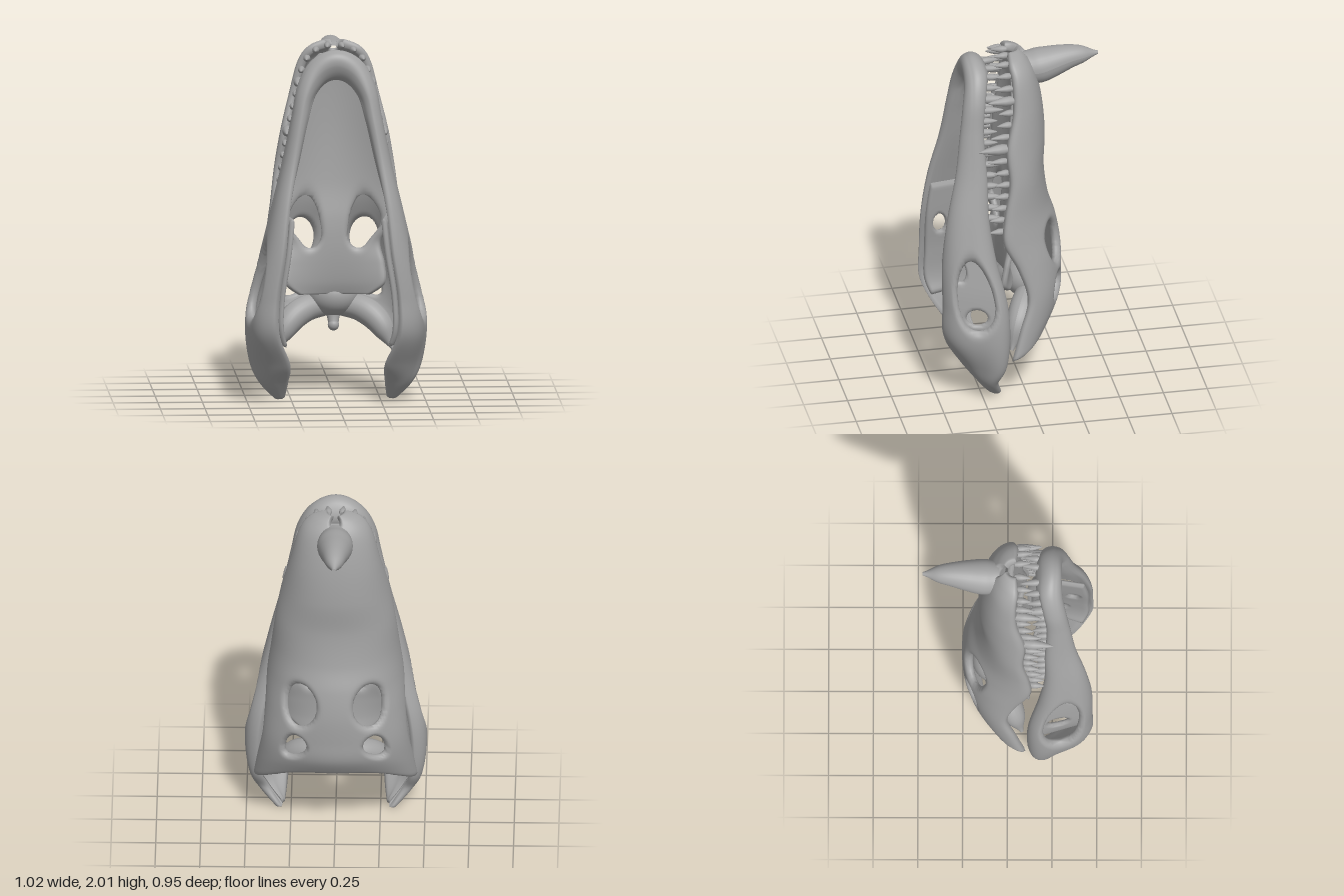
import * as THREE from 'three';
import { mergeVertices } from 'three/addons/utils/BufferGeometryUtils.js';

const bone = new THREE.MeshStandardMaterial({ color: 0xa2a2a2 });
bone.name = 'bone grey';

// Smooth interpolation through a table of rows, t in 0..1
function rowAt(rows, t) {
  const f = Math.min(Math.max(t, 0), 1) * (rows.length - 1);
  const i = Math.min(Math.floor(f), rows.length - 2), k = f - i;
  const a = rows[Math.max(i - 1, 0)], b = rows[i], c = rows[i + 1], d = rows[Math.min(i + 2, rows.length - 1)];
  return b.map((q, n) => {
    const m0 = (c[n] - a[n]) / 2, m1 = (d[n] - q) / 2;
    return q + m0 * k + (3 * (c[n] - q) - 2 * m0 - m1) * k * k + (2 * (q - c[n]) + m0 + m1) * k ** 3;
  });
}

function addMesh(parent, name, geometry) {
  const mesh = new THREE.Mesh(geometry, bone);
  mesh.name = name;
  parent.add(mesh);
  return mesh;
}

// Curved plate with rounded rims; holes are ellipses [s, v, rs, rv] in its own coordinates
function shell(N, M, mid, half, ks, kv, holes) {
  const pos = [], inside = [], idx = [], W = M + 1, count = (N + 1) * W;
  const e = 0.002, back = [];
  for (let i = 0; i <= N; i++) for (let j = 0; j <= M; j++) {
    let s = i / N, v = j / M, r = Math.min(1, Math.min(s, 1 - s) / ks, Math.min(v, 1 - v) / kv), cut = false;
    for (const [hs, hv, rs, rv] of holes) {
      const q = Math.hypot((s - hs) / rs, (v - hv) / rv);
      if (q <= 1) {
        const g = 1 / Math.max(q, 1e-3);
        s = hs + (s - hs) * g; v = hv + (v - hv) * g;
        cut = true; r = 0;
      } else r = Math.min(r, (q - 1) / 0.35);
    }
    inside.push(cut);
    const s0 = Math.max(s - e, 0), s1 = Math.min(s + e, 1), v0 = Math.max(v - e, 0), v1 = Math.min(v + e, 1);
    const n = mid(s1, v).sub(mid(s0, v)).cross(mid(s, v1).sub(mid(s, v0))).normalize();
    const t = half(s, v) * Math.sqrt(Math.max(0, 1 - (1 - r) ** 2)), p = mid(s, v);
    pos.push(...p.clone().addScaledVector(n, t).toArray());
    back.push(...p.addScaledVector(n, -t).toArray());
  }
  const tri = (a, b, c) => {
    if (inside[a] && inside[b] && inside[c]) return;
    idx.push(a, b, c, a + count, c + count, b + count);
  };
  for (let i = 0; i < N; i++) for (let j = 0; j < M; j++) {
    const a = i * W + j, b = a + W;
    tri(a, b, a + 1);
    tri(b, b + 1, a + 1);
  }
  let g = new THREE.BufferGeometry();
  g.setAttribute('position', new THREE.Float32BufferAttribute(pos.concat(back), 3));
  g.setIndex(idx);
  g = mergeVertices(g, 1e-5);
  g.computeVertexNormals();
  return g;
}

// Round bar along a curve with changing radius
function bar(points, radii, steps = 32, sides = 24) {
  const curve = new THREE.CatmullRomCurve3(points.map(p => new THREE.Vector3(...p)));
  const g = new THREE.TubeGeometry(curve, steps, 1, sides, false), P = g.attributes.position;
  const rows = radii.map(r => [r]), v = new THREE.Vector3();
  for (let k = 0; k < P.count; k++) {
    const t = Math.floor(k / (sides + 1)) / steps, c = curve.getPointAt(t);
    v.fromBufferAttribute(P, k).sub(c).multiplyScalar(rowAt(rows, t)[0]).add(c);
    P.setXYZ(k, v.x, v.y, v.z);
  }
  g.computeVertexNormals();
  return g;
}

// Lower jaw, tip to rear: tooth edge xyz, bottom edge xyz, outward bulge, half thickness
const jawHalf = [
  [0, 1.92, 0.17, 0, 1.86, 0.29, 0, 0.088],
  [0.1, 1.885, 0.17, 0.085, 1.82, 0.295, 0.005, 0.076],
  [0.165, 1.78, 0.2, 0.15, 1.72, 0.32, 0.01, 0.056],
  [0.21, 1.6, 0.22, 0.185, 1.58, 0.345, 0.01, 0.046],
  [0.26, 1.35, 0.21, 0.23, 1.35, 0.38, 0.015, 0.043],
  [0.305, 1.1, 0.21, 0.27, 1.1, 0.435, 0.035, 0.04],
  [0.345, 0.85, 0.175, 0.295, 0.85, 0.47, 0.065, 0.035],
  [0.4, 0.6, 0.12, 0.33, 0.6, 0.475, 0.085, 0.032],
  [0.42, 0.4, 0.11, 0.33, 0.4, 0.47, 0.088, 0.032],
  [0.41, 0.22, 0.13, 0.265, 0.22, 0.37, 0.085, 0.035],
  [0.37, 0.11, 0.18, 0.27, 0.11, 0.27, 0.06, 0.035],
  [0.3, 0, 0.145, 0.285, 0.01, 0.185, 0.01, 0.03],
];
// Skull roof, tip to rear: middle y, edge y, half width, crest z, edge z
const roofRows = [
  [1.985, 1.985, 0.04, 0, 0.05], [1.95, 1.95, 0.13, -0.04, 0.06], [1.87, 1.87, 0.185, -0.085, 0.05],
  [1.7, 1.7, 0.23, -0.122, 0.055], [1.5, 1.5, 0.28, -0.138, 0.1], [1.3, 1.3, 0.315, -0.13, 0.09],
  [1.1, 1.1, 0.34, -0.155, 0.125], [0.95, 0.95, 0.36, -0.2, 0.13], [0.8, 0.78, 0.37, -0.225, 0.05],
  [0.65, 0.6, 0.385, -0.228, 0], [0.53, 0.42, 0.415, -0.22, 0.05], [0.42, 0.25, 0.44, -0.16, 0.1],
];
// Palate: y, half width, middle z, edge z
const palateRows = [
  [1.93, 0.08, 0.02, 0.03], [1.8, 0.17, 0, 0.04], [1.5, 0.25, 0, 0.07], [1.2, 0.3, 0.02, 0.08],
  [1.0, 0.33, 0.05, 0.1], [0.87, 0.26, 0.06, 0.07], [0.75, 0.28, 0.06, 0.1], [0.64, 0.28, 0.05, 0.12],
  [0.57, 0.2, 0.03, 0.08],
];

export function createModel() {
  const model = new THREE.Group();
  model.name = 'hornedReptileSkull';

  // Lower jaw: one U-shaped plate with a window on each side
  const mirrored = jawHalf.slice(1).reverse().map(([a, b, c, d, e, f, g, h]) => [-a, b, c, -d, e, f, -g, h]);
  const jawRows = mirrored.concat(jawHalf);
  const jawMid = (s, v) => {
    const [a, b, c, d, e, f, g] = rowAt(jawRows, s);
    return new THREE.Vector3(a + (d - a) * v + g * (1 - (2 * v - 1) ** 4), b + (e - b) * v, c + (f - c) * v);
  };
  addMesh(model, 'lowerJaw', shell(240, 40, jawMid, s => rowAt(jawRows, s)[7], 0.02, 0.45,
    [-1, 1].map(k => [0.5 + k * 6.75 / 22, 0.5, 0.85 / 22, 0.29])));

  // Inner jaw walls behind the windows, each with two small openings
  for (const k of [-1, 1]) {
    const wallMid = (s, v) => {
      const [a, b, c, d, e, f] = rowAt(jawHalf, (5.2 + 3.2 * s) / 11), q = 0.06 + 0.88 * v;
      return new THREE.Vector3(k * (a + (d - a) * q - 0.025), b + (e - b) * q, c + (f - c) * q);
    };
    addMesh(model, 'innerJawWall', shell(48, 36, wallMid, () => 0.016, 0.05, 0.1,
      [[0.34, 0.7, 0.07, 0.13], [0.71, 0.46, 0.07, 0.18]]));
  }

  // Skull roof with eye sockets, rear windows and the cleft at the nose
  const roofMid = (s, v) => {
    const [ym, ye, w, zd, ze] = rowAt(roofRows, s), a = (2 * v - 1) * Math.PI / 2;
    const sn = Math.sin(a), cs = Math.max(0, Math.cos(a));
    return new THREE.Vector3(w * Math.sign(sn) * Math.abs(sn) ** (0.9 + 0.1 * s),
      ym + (ye - ym) * Math.abs(sn) ** 3, ze + (zd - ze) * cs ** (0.8 + 0.35 * s));
  };
  const roofHoles = [[0, 0.5, 0.11, 0.08]];
  for (const k of [-1, 1]) roofHoles.push(
    [7.6 / 11, 0.5 + k * 0.17, 0.8 / 11, 0.085], [9.3 / 11, 0.5 + k * 0.19, 0.5 / 11, 0.06]);
  addMesh(model, 'skullRoof', shell(130, 84, roofMid, () => 0.026, 0.03, 0.06, roofHoles));

  // Palate with two long openings and flared rear wings
  const palateMid = (s, v) => {
    const [y, w, zm, ze] = rowAt(palateRows, s), k = 2 * v - 1;
    return new THREE.Vector3(w * k, y, zm + (ze - zm) * k * k);
  };
  addMesh(model, 'palate', shell(80, 60, palateMid, () => 0.018, 0.03, 0.06,
    [-1, 1].map(k => [4.3 / 8, 0.5 + k * 0.26, 1 / 8, 0.14])));

  // Nose horn
  addMesh(model, 'noseHorn', bar(
    [[0, 1.87, -0.05], [0, 1.875, -0.13], [0, 1.915, -0.32], [0, 1.922, -0.475]],
    [0.09, 0.1, 0.088, 0.07, 0.048, 0.01], 40, 32));

  // Braincase, neck knob and the struts out to the jaw joints
  const brain = addMesh(model, 'braincase', new THREE.SphereGeometry(1, 32, 24));
  brain.position.set(0, 0.55, -0.07);
  brain.scale.set(0.14, 0.12, 0.13);
  const knob = addMesh(model, 'neckKnob', new THREE.SphereGeometry(0.032, 20, 16));
  knob.position.set(0, 0.385, -0.03);
  addMesh(model, 'neckKnobStem', bar([[0, 0.5, -0.07], [0, 0.44, -0.05], [0, 0.385, -0.03]], [0.07, 0.04, 0.028]));
  for (const k of [-1, 1]) addMesh(model, 'jawStrut', bar(
    [[0, 0.5, -0.1], [k * 0.16, 0.475, -0.03], [k * 0.25, 0.41, 0.02], [k * 0.33, 0.26, 0.08]],
    [0.06, 0.07, 0.075, 0.06, 0.01]));

  // Teeth: bulging cones of unit length
  const toothShape = new THREE.LatheGeometry(
    [[0.7, -0.2], [1, 0.1], [0.95, 0.3], [0.65, 0.6], [0.3, 0.88], [0.1, 0.98], [0, 1]]
      .map(p => new THREE.Vector2(...p)), 12);
  const toothRow = (name, curve, total, from, to, dir, lengthAt) => {
    const group = new THREE.Group();
    group.name = name;
    for (let i = 0; i < total; i++) for (const k of [-1, 1]) {
      const p = curve.getPointAt(from + (to - from) * i / (total - 1)), len = lengthAt(i);
      const tooth = addMesh(group, 'tooth', toothShape);
      tooth.position.set(k * p.x, p.y, p.z);
      tooth.rotation.set(dir * Math.PI / 2, 0, -k * 0.1);
      tooth.scale.set(Math.max(0.02, len * 0.2), len, Math.max(0.02, len * 0.2));
    }
    model.add(group);
  };
  const upperLine = new THREE.CatmullRomCurve3(
    roofRows.slice(0, 8).map(r => new THREE.Vector3(r[2] * 0.95, r[1] - 0.008, r[4] + 0.005)));
  const upperBig = { 3: 0.1, 4: 0.14, 7: 0.1, 8: 0.155, 9: 0.1 };
  toothRow('upperTeeth', upperLine, 16, 0, 0.93, 1, i => upperBig[i] || 0.075);
  const lowerLine = new THREE.CatmullRomCurve3(jawHalf.slice(0, 6).map(r => new THREE.Vector3(r[0], r[1], r[2])));
  const lowerBig = { 0: 0.1, 3: 0.13, 4: 0.11, 9: 0.1 };
  toothRow('lowerTeeth', lowerLine, 15, 0.05, 1, -1, i => lowerBig[i] || 0.08);

  return model;
}
